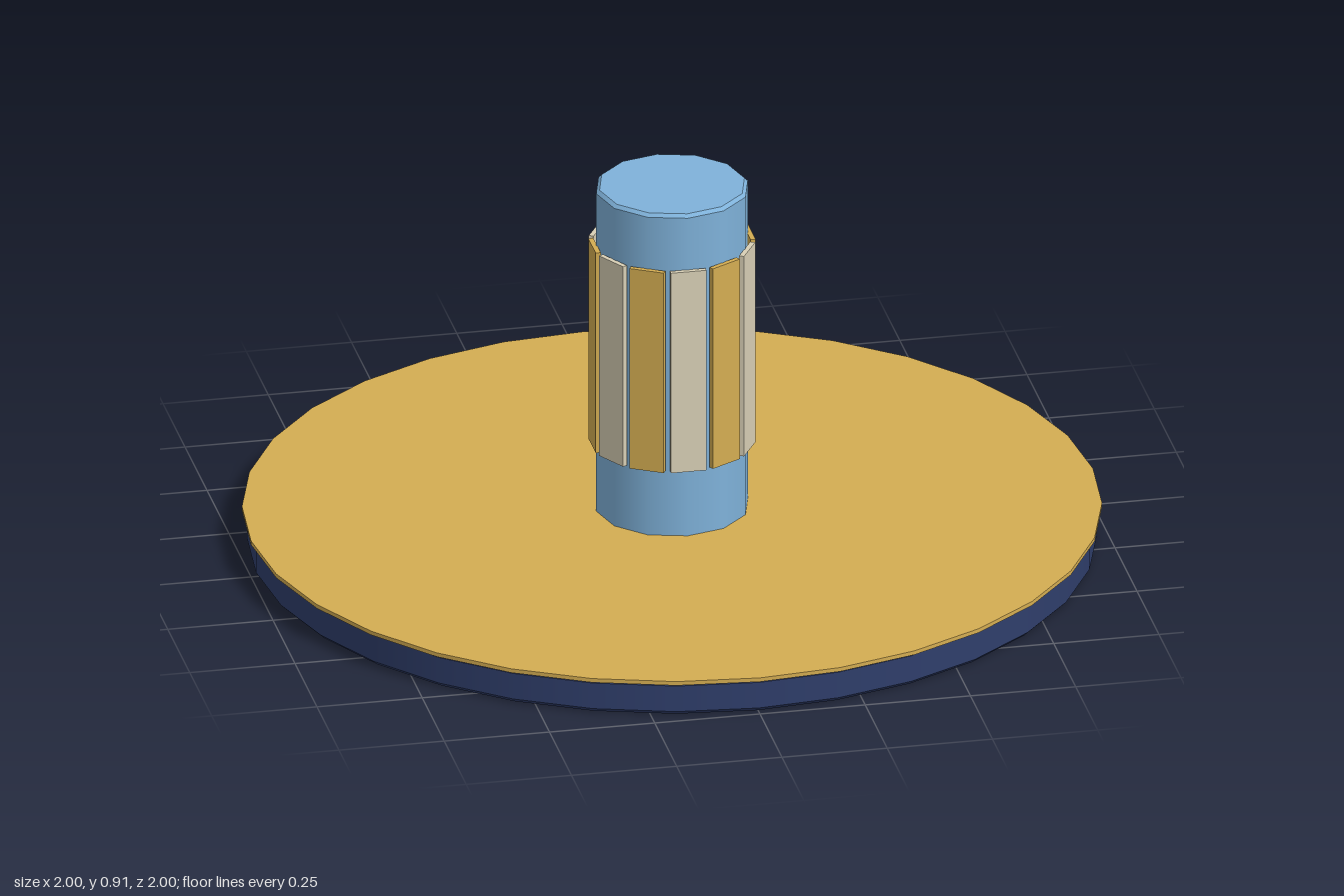
import * as THREE from 'three';

const material = (name, color) => {
  const m = new THREE.MeshStandardMaterial({ color });
  m.name = name;
  return m;
};

// Revolved solid; every profile corner is doubled so its edge stays crisp
function turned(name, profile, sides, mat) {
  const points = profile.flatMap(([r, y], i) => {
    const p = new THREE.Vector2(r, y);
    return i === 0 || i === profile.length - 1 ? [p] : [p, p.clone()];
  });
  const mesh = new THREE.Mesh(new THREE.LatheGeometry(points, sides), mat);
  mesh.name = name;
  return mesh;
}

export function createModel() {
  const navy = material('navy', 0x2f3e6b);
  const gold = material('gold', 0xd4ad52);
  const blue = material('blue', 0x7fb2da);
  const cream = material('cream', 0xd9d0b6);

  const model = new THREE.Group();
  model.name = 'columnOnDisc';

  // Round base with softened edges
  model.add(turned('base',
    [[0, 0], [0.978, 0], [0.988, 0.01], [0.988, 0.075], [0.98, 0.083], [0, 0.083]], 32, navy));

  // Thin top plate, slightly overhanging the base
  model.add(turned('topPlate', [[0, 0.082], [1, 0.082], [1, 0.092], [0, 0.092]], 32, gold));

  // Twelve-sided column with a small bevel at the top
  model.add(turned('column',
    [[0, 0.085], [0.18, 0.085], [0.18, 0.902], [0.172, 0.91], [0, 0.91]], 12, blue));

  // Ring of alternating slats around the column
  const slats = new THREE.Group();
  slats.name = 'slats';
  const slatGeometry = new THREE.BoxGeometry(0.084, 0.51, 0.012);
  slatGeometry.translate(0, 0.515, 0.184);
  for (let i = 0; i < 12; i++) {
    const slat = new THREE.Mesh(slatGeometry, i % 2 ? gold : cream);
    slat.name = i % 2 ? 'goldSlat' : 'creamSlat';
    slat.rotation.y = (i * Math.PI) / 6;
    slats.add(slat);
  }
  model.add(slats);

  return model;
}
